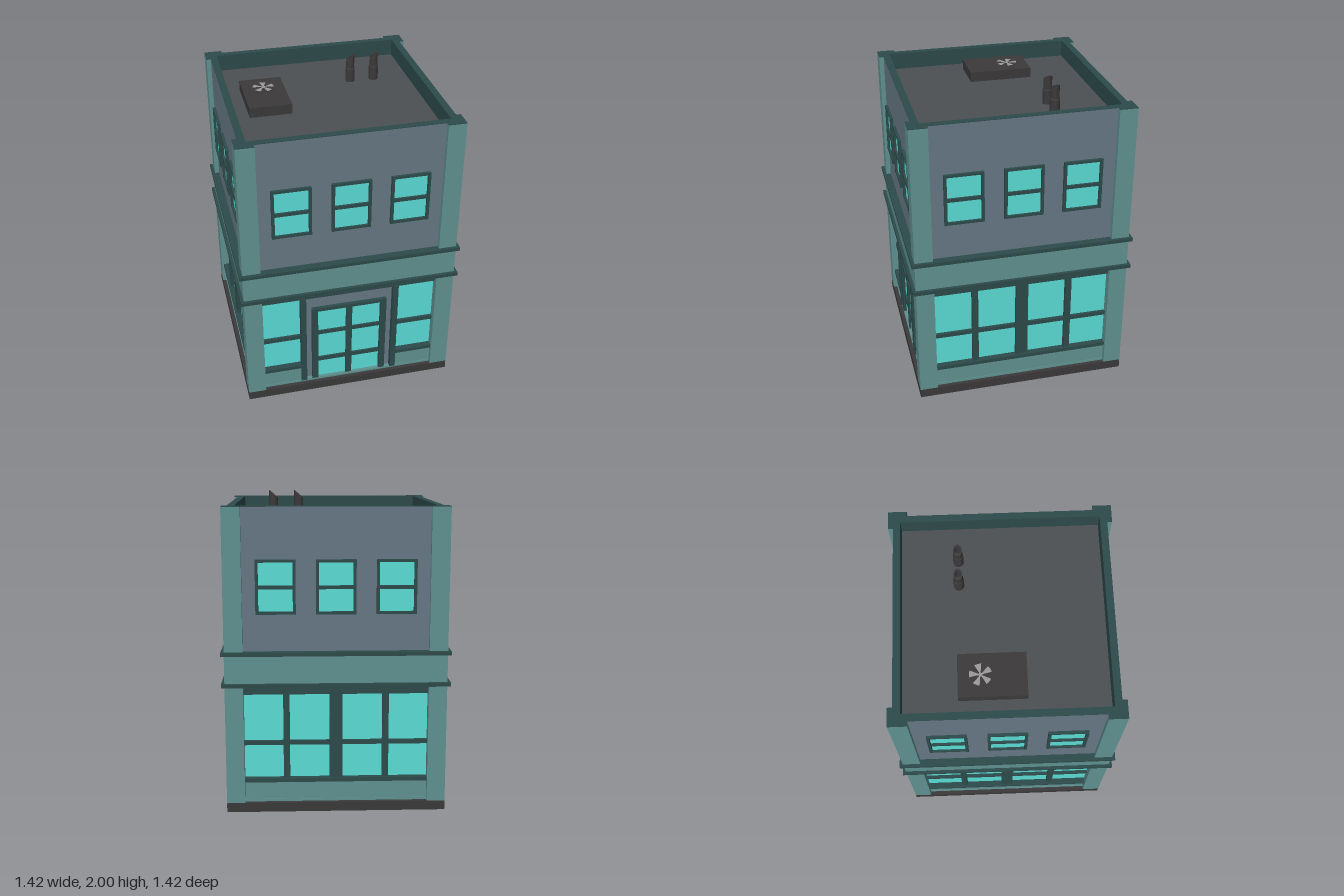
import * as THREE from 'three';

const mat = (color) => new THREE.MeshStandardMaterial({ color, flatShading: true });
const M = {
  teal: mat(0x5f9190), dark: mat(0x2d4a4a), wall: mat(0x667884), glass: mat(0x5bddd6),
  charcoal: mat(0x3b3939), roof: mat(0x4c5052), blade: mat(0x9a9a9a),
};
M.charcoal.side = THREE.DoubleSide;

function add(parent, name, geometry, material) {
  const mesh = new THREE.Mesh(geometry, material);
  mesh.name = name;
  parent.add(mesh);
  return mesh;
}

// Box given by its limits on each axis
function box(parent, name, material, x0, x1, y0, y1, z0, z1) {
  const mesh = add(parent, name, new THREE.BoxGeometry(x1 - x0, y1 - y0, z1 - z0), material);
  mesh.position.set((x0 + x1) / 2, (y0 + y1) / 2, (z0 + z1) / 2);
  return mesh;
}

const square = (h) => [[-h, -h], [h, -h], [h, h], [-h, h]];
const toPoints = (list) => list.map(([x, z]) => new THREE.Vector2(x, z));

// Vertical prism from a plan outline, with an optional square opening
function prism(parent, name, material, outline, y0, y1, hole) {
  const shape = new THREE.Shape(toPoints(outline));
  if (hole) shape.holes.push(new THREE.Path(toPoints(square(hole))));
  const geometry = new THREE.ExtrudeGeometry(shape, { depth: y1 - y0, bevelEnabled: false });
  geometry.rotateX(-Math.PI / 2).translate(0, y0, 0);
  return add(parent, name, geometry, material);
}

// Three framed upper windows
function upperWindows(side) {
  for (const x of [-0.37, 0, 0.37]) {
    const w = new THREE.Group();
    w.name = 'upperWindow';
    w.position.x = x;
    side.add(w);
    box(w, 'upperGlass', M.glass, -0.11, 0.11, 1.28, 1.59, 0.65, 0.664);
    for (const s of [-1, 1]) box(w, 'frameSide', M.dark, s * 0.114 - 0.009, s * 0.114 + 0.009, 1.265, 1.6, 0.65, 0.68);
    for (const [a, b] of [[1.265, 1.282], [1.42, 1.442], [1.583, 1.6]]) {
      box(w, 'frameRail', M.dark, -0.106, 0.106, a, b, 0.65, 0.678);
    }
  }
}

// Sill panel, rails and lintel for a stretch of shop window
function shopWindow(side, x0, x1) {
  box(side, 'sillPanel', M.teal, x0, x1, 0.075, 0.19, 0.6, 0.66);
  box(side, 'sill', M.dark, x0, x1, 0.19, 0.215, 0.6, 0.675);
  box(side, 'windowRail', M.dark, x0, x1, 0.43, 0.457, 0.6, 0.655);
}

function shopSide(side) {
  shopWindow(side, -0.575, 0.575);
  for (const [x, w] of [[-0.31, 0.02], [0, 0.04], [0.31, 0.02]]) {
    box(side, 'mullion', M.dark, x - w, x + w, 0.21, 0.765, 0.6, 0.66);
  }
}

function entranceSide(side) {
  for (const s of [-1, 1]) {
    shopWindow(side, Math.min(s * 0.575, s * 0.325), Math.max(s * 0.575, s * 0.325));
    box(side, 'entrancePost', M.dark, s * 0.3075 - 0.0185, s * 0.3075 + 0.0185, 0.075, 0.765, 0.6, 0.672);
    box(side, 'doorJamb', M.dark, s * 0.23 - 0.02, s * 0.23 + 0.02, 0.075, 0.668, 0.6, 0.665);
  }
  box(side, 'entranceWall', M.wall, -0.29, 0.29, 0.075, 0.765, 0.6, 0.64);
  box(side, 'doorHead', M.dark, -0.21, 0.21, 0.645, 0.668, 0.6, 0.665);
  box(side, 'doorGlass', M.glass, -0.21, 0.21, 0.075, 0.645, 0.6, 0.644);
  box(side, 'doorMeeting', M.dark, -0.02, 0.02, 0.075, 0.645, 0.6, 0.658);
  for (const [a, b] of [[0.215, 0.245], [0.445, 0.472]]) box(side, 'doorRail', M.dark, -0.21, 0.21, a, b, 0.6, 0.656);
}

// Roof pipe with a hollow, slanted mouth
function ventPipe(parent, x, z) {
  const profile = [[0.032, 0], [0.032, 0.09], [0.028, 0.095], [0.028, 0.17], [0.02, 0.17], [0.02, 0.1], [0, 0.1]];
  const geometry = new THREE.LatheGeometry(toPoints(profile), 12);
  const p = geometry.attributes.position;
  for (let i = 0; i < p.count; i++) {
    if (p.getY(i) > 0.16) p.setY(i, 0.166 + p.getX(i) * 0.85);
  }
  geometry.computeVertexNormals();
  add(parent, 'ventPipe', geometry, M.charcoal).position.set(x, 1.81, z);
}

export function createModel() {
  const model = new THREE.Group();
  model.name = 'building';

  // Plinth and main storeys
  box(model, 'base', M.charcoal, -0.69, 0.69, 0, 0.06, -0.69, 0.69);
  box(model, 'lowerStep', M.teal, -0.665, 0.665, 0.06, 0.075, -0.665, 0.665);
  box(model, 'shopGlass', M.glass, -0.635, 0.635, 0.075, 0.8, -0.635, 0.635);
  box(model, 'beltBand', M.teal, -0.69, 0.69, 0.835, 1.01, -0.69, 0.69);
  for (const y of [0.812, 1.01]) box(model, 'beltTrim', M.dark, -0.71, 0.71, y, y + 0.024, -0.71, 0.71);
  prism(model, 'upperWall', M.wall, square(0.66), 1.03, 1.916, 0.63);

  // Roof deck and parapet
  box(model, 'roofDeck', M.roof, -0.63, 0.63, 1.78, 1.81, -0.63, 0.63);
  prism(model, 'parapetLining', M.dark, square(0.63), 1.8, 1.916, 0.615);
  const a = 0.69, b = 0.575, c = 0.66;
  const quarter = [[b, -c], [b, -a], [a, -a], [a, -b], [c, -b]];
  const outline = [];
  for (let k = 0; k < 4; k++) {
    for (const [x, z] of quarter) {
      outline.push([[x, z], [-z, x], [-x, -z], [z, -x]][k]);
    }
  }
  prism(model, 'parapetCap', M.dark, outline, 1.916, 1.92, 0.615);

  // Four facades with their corner piers
  ['front', 'left', 'back', 'right'].forEach((name, k) => {
    const side = new THREE.Group();
    side.name = name + 'Facade';
    side.rotation.y = k * Math.PI / 2;
    model.add(side);
    const d = 0.625;
    prism(side, 'cornerPier', M.teal, [[b, -a], [a, -a], [a, -b], [d, -b], [d, -d], [b, -d]], 0.06, 1.916);
    box(side, 'lintel', M.dark, -0.575, 0.575, 0.76, 0.814, 0.6, 0.665);
    upperWindows(side);
    if (k === 0) entranceSide(side);
    else shopSide(side);
  });

  // Rooftop cooling unit with fan
  box(model, 'coolingUnit', M.charcoal, -0.515, -0.245, 1.81, 1.875, -0.285, 0.125);
  const fan = new THREE.Group();
  fan.name = 'fan';
  fan.position.set(-0.38, 1.875, -0.15);
  model.add(fan);
  add(fan, 'fanWell', new THREE.CylinderGeometry(0.07, 0.07, 0.004, 24), M.charcoal);
  for (let i = 0; i < 5; i++) {
    const blade = new THREE.CircleGeometry(0.068, 5, i * Math.PI * 0.4 - 0.1, Math.PI * 0.2);
    add(fan, 'fanBlade', blade.rotateX(-Math.PI / 2).translate(0, 0.005, 0), M.blade);
  }
  add(fan, 'fanHub', new THREE.CylinderGeometry(0.012, 0.012, 0.012, 12), M.blade);

  for (const x of [0.225, 0.385]) ventPipe(model, x, -0.265);
  return model;
}
